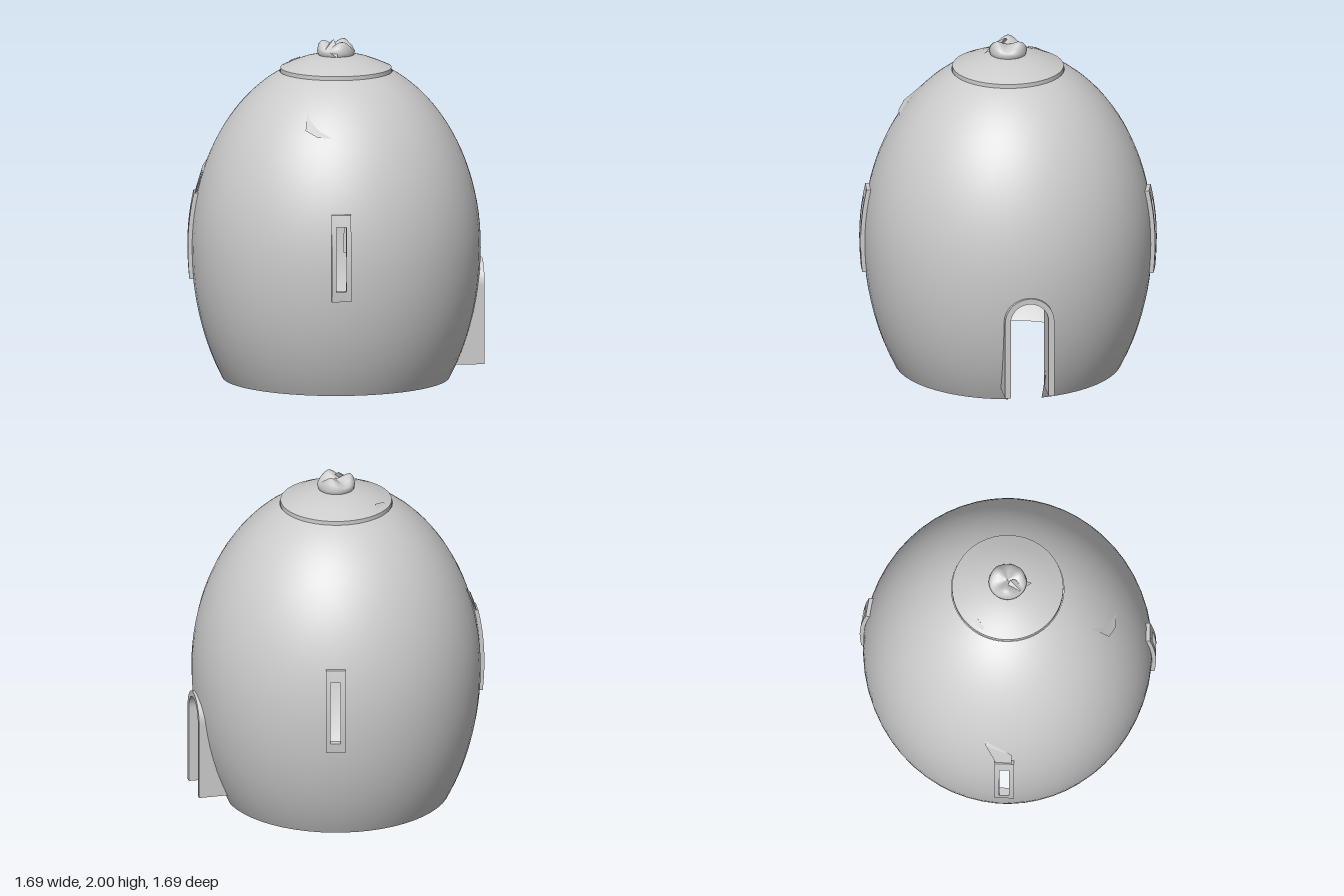
import * as THREE from 'three';
import { ConvexGeometry } from 'three/addons/geometries/ConvexGeometry.js';

const rad = THREE.MathUtils.degToRad;
const grey = new THREE.MeshStandardMaterial({ color: 0xcccccc });
const thin = new THREE.MeshStandardMaterial({ color: 0xcccccc, side: THREE.DoubleSide });
const flat = new THREE.MeshStandardMaterial({ color: 0xcccccc, side: THREE.DoubleSide, flatShading: true });

// Egg profile: two half ellipses meeting at the widest height
const MID = 0.78, RMAX = 0.845, TOP = 1.81;
const halfHeight = y => (y > MID ? 1.118 : 1.264);
const radius = y => RMAX * Math.sqrt(1 - ((y - MID) / halfHeight(y)) ** 2);

const windowAngles = [49.6, -41, -139.7].map(rad);
const windowHalf = 0.036, windowLow = 0.65, windowHigh = 1.03;
const doorAngle = rad(144), doorHalf = 0.15, doorSpring = 0.545;

function mesh(name, geometry, material = grey) {
  const m = new THREE.Mesh(geometry, material);
  m.name = name;
  return m;
}

// Thin wall swept round the axis, with window and door openings left out
function shellGeometry() {
  const openings = [...windowAngles.map(a => [a, windowHalf]), [doorAngle, doorHalf]];
  const angles = [-Math.PI, Math.PI];
  for (let i = 1; i < 56; i++) {
    const a = -Math.PI + (i / 56) * Math.PI * 2;
    if (!openings.some(([c, h]) => Math.abs(a - c) < h)) angles.push(a);
  }
  windowAngles.forEach(a => angles.push(a - windowHalf, a + windowHalf));
  for (let i = 0; i <= 14; i++) angles.push(doorAngle - doorHalf * Math.cos((i / 14) * Math.PI));
  angles.sort((a, b) => a - b);

  const rows = [windowLow, windowHigh];
  for (let i = 0; i <= 36; i++) rows.push(TOP * Math.sin((i / 36) * Math.PI / 2));
  rows.sort((a, b) => a - b);

  const pos = [], nor = [];
  const put = (a, y) => {
    const r = radius(y);
    pos.push(r * Math.sin(a), y, r * Math.cos(a));
    const n = new THREE.Vector3(
      r * Math.sin(a) / RMAX ** 2, (y - MID) / halfHeight(y) ** 2, r * Math.cos(a) / RMAX ** 2).normalize();
    nor.push(n.x, n.y, n.z);
  };
  const archHeight = a =>
    doorSpring + 0.125 * Math.sqrt(Math.max(0, 1 - ((a - doorAngle) / doorHalf) ** 2));

  for (let i = 0; i < angles.length - 1; i++) {
    const a = angles[i], b = angles[i + 1], mid = (a + b) / 2;
    const inDoor = Math.abs(mid - doorAngle) < doorHalf;
    const inWindow = windowAngles.some(w => Math.abs(mid - w) < windowHalf);
    const minA = inDoor ? archHeight(a) : 0, minB = inDoor ? archHeight(b) : 0;
    for (let j = 0; j < rows.length - 1; j++) {
      const lo = rows[j], hi = rows[j + 1];
      if (hi <= Math.min(minA, minB)) continue;
      if (inWindow && lo >= windowLow && hi <= windowHigh) continue;
      const a0 = Math.max(lo, minA), a1 = Math.max(hi, minA);
      const b0 = Math.max(lo, minB), b1 = Math.max(hi, minB);
      if (b1 > b0) { put(a, a0); put(b, b0); put(b, b1); }
      if (a1 > a0) { put(a, a0); put(b, b1); put(a, a1); }
    }
  }
  const g = new THREE.BufferGeometry();
  g.setAttribute('position', new THREE.Float32BufferAttribute(pos, 3));
  g.setAttribute('normal', new THREE.Float32BufferAttribute(nor, 3));
  return g;
}

// Slit window surround, bent to follow the wall
function windowFrame(angle) {
  const group = new THREE.Group();
  group.name = 'windowFrame';
  const bar = (x, y, w, h) => {
    const g = new THREE.BoxGeometry(w, h, 0.048, 1, 8, 1).translate(x, y, 0);
    const p = g.attributes.position;
    for (let i = 0; i < p.count; i++) p.setZ(i, p.getZ(i) + radius(p.getY(i)) - 0.002);
    g.computeVertexNormals();
    group.add(mesh('windowBar', g));
  };
  for (const s of [-1, 1]) bar(s * 0.043, 0.845, 0.028, 0.51);
  bar(0, 0.62, 0.058, 0.06);
  bar(0, 1.065, 0.058, 0.07);
  group.rotation.y = angle;
  return group;
}

// Arched door surround standing proud of the wall
function doorFrame() {
  const s = new THREE.Shape();
  s.moveTo(-0.145, 0.08);
  s.lineTo(-0.112, 0.08);
  s.lineTo(-0.112, doorSpring);
  s.absarc(0, doorSpring, 0.112, Math.PI, 0, true);
  s.lineTo(0.112, 0.08);
  s.lineTo(0.145, 0.08);
  s.lineTo(0.145, doorSpring);
  s.absarc(0, doorSpring, 0.145, 0, Math.PI, false);
  const g = new THREE.ExtrudeGeometry(s, { depth: 0.18, bevelEnabled: false, curveSegments: 16 });
  const m = mesh('doorFrame', g.translate(0, 0, 0.677));
  m.rotation.y = doorAngle;
  return m;
}

// Small flake on the surface; points are [degrees, radius, height]
function flake(name, points) {
  const v = points.map(([a, r, y]) => new THREE.Vector3(r * Math.sin(rad(a)), y, r * Math.cos(rad(a))));
  return mesh(name, new ConvexGeometry(v), flat);
}
const onWall = list => list.map(([a, y, off]) => [a, radius(y) + off, y]);

// Rounded finial with an uneven, hollowed top
function knobGeometry() {
  const profile = [[0.085, 1.88], [0.104, 1.905], [0.111, 1.93], [0.104, 1.955],
    [0.085, 1.972], [0.06, 1.975], [0.03, 1.968], [0, 1.965]];
  const g = new THREE.LatheGeometry(profile.map(p => new THREE.Vector2(...p)), 36);
  const p = g.attributes.position;
  for (let i = 0; i < p.count; i++) {
    const x = p.getX(i), y = p.getY(i), z = p.getZ(i);
    const lift = Math.max(0, y - 1.93) / 0.045 * Math.hypot(x, z) / 0.085;
    p.setY(i, y + lift * 0.022 * Math.sin(3 * Math.atan2(z, x) + 0.8));
  }
  g.computeVertexNormals();
  return g;
}

export function createModel() {
  const model = new THREE.Group();
  model.name = 'domedHut';
  model.add(mesh('shell', shellGeometry(), thin));
  windowAngles.forEach(a => model.add(windowFrame(a)));
  model.add(doorFrame());

  // Roof cap: short rim with a shallow dome
  model.add(mesh('capRim', new THREE.CylinderGeometry(0.325, 0.325, 0.03, 56).translate(0, 1.818, 0)));
  const dome = [[0.325, 1.833], [0.26, 1.862], [0.19, 1.888], [0.11, 1.908], [0, 1.918]];
  model.add(mesh('capDome', new THREE.LatheGeometry(dome.map(p => new THREE.Vector2(...p)), 56), thin));
  model.add(mesh('knob', knobGeometry(), thin));

  // Chipped flakes on knob, cap and wall
  model.add(flake('knobFlake', [[0, 0.02, 2.0], [60, 0.07, 1.95], [50, 0.14, 1.91], [-50, 0.07, 1.95], [10, 0.1, 1.95]]));
  model.add(flake('capFlake', [[-90, 0.322, 1.83], [-82, 0.27, 1.866], [-68, 0.29, 1.855], [-68, 0.315, 1.835], [-76, 0.27, 1.84]]));
  model.add(flake('upperFlake', onWall([[29, 1.65, 0], [46, 1.52, 0], [31, 1.56, 0.022], [38, 1.525, 0.015], [36, 1.6, -0.02]])));
  model.add(flake('windowFlake', onWall([[-50, 1.27, 0], [-49, 1.24, 0.012], [-38, 1.17, 0.01], [-38, 1.09, 0.018], [-44, 1.08, 0.015], [-43, 1.15, -0.03]])));
  return model;
}
